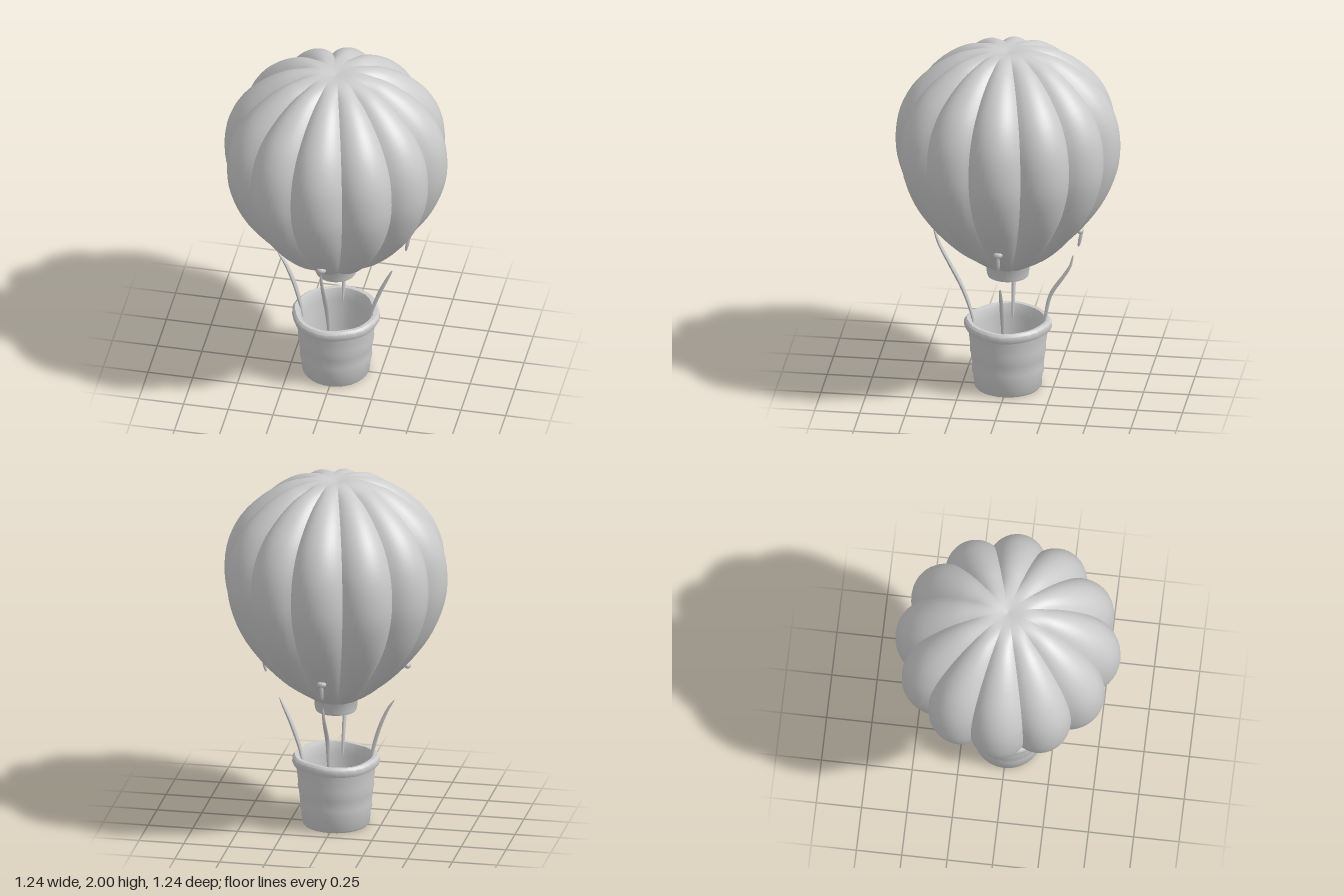
import * as THREE from 'three';
import { toCreasedNormals } from 'three/addons/utils/BufferGeometryUtils.js';

const V2 = (p) => new THREE.Vector2(p[0], p[1]);
const grey = new THREE.MeshStandardMaterial({ color: 0xcccccc });
const GORES = 12;

function addMesh(parent, name, geometry) {
  const mesh = new THREE.Mesh(geometry, grey);
  mesh.name = name;
  parent.add(mesh);
  return mesh;
}

function lathe(points, segments = 32) {
  return toCreasedNormals(new THREE.LatheGeometry(points.map(V2), segments), 0.7);
}

// One puffed strip of the envelope, facing +z, from the neck to the crown
function goreGeometry() {
  const profile = new THREE.SplineCurve([
    [0.115, 0.725], [0.2, 0.775], [0.3, 0.85], [0.42, 0.975], [0.53, 1.13], [0.6, 1.3], [0.62, 1.45],
    [0.6, 1.61], [0.53, 1.755], [0.42, 1.87], [0.3, 1.95], [0.2, 1.985], [0.1, 1.998], [0, 1.985],
  ].map(V2));
  const rows = 44, cols = 12, half = Math.PI / GORES;
  const positions = [], index = [];
  for (let i = 0; i <= rows; i++) {
    const p = profile.getPoint(i / rows);
    const t = profile.getTangent(i / rows);
    const fade = THREE.MathUtils.smoothstep(p.x, 0.08, 0.24);
    for (let j = 0; j <= cols; j++) {
      const a = half * (2 * j / cols - 1);
      // Each strip bulges as a circular arc; seams sink in along the surface normal
      const arc = 0.734 * Math.cos(a) + Math.sqrt(0.266 ** 2 - (0.734 * Math.sin(a)) ** 2);
      const depth = p.x * (1 - arc) * fade;
      const r = Math.max(0, p.x - t.y * depth);
      positions.push(r * Math.sin(a), p.y + t.x * depth, r * Math.cos(a));
      if (i < rows && j < cols) {
        const k = i * (cols + 1) + j, up = k + cols + 1;
        index.push(k, k + 1, up + 1, k, up + 1, up);
      }
    }
  }
  const g = new THREE.BufferGeometry();
  g.setAttribute('position', new THREE.Float32BufferAttribute(positions, 3));
  g.setIndex(index);
  g.computeVertexNormals();
  return g;
}

// Rope through [radius, height] points in the plane facing +z, thinning toward its ends
function ropeGeometry(points, radius) {
  const curve = new THREE.CatmullRomCurve3(points.map(([r, y]) => new THREE.Vector3(0, y, r)));
  const n = 16, sides = 6;
  const g = new THREE.TubeGeometry(curve, n, radius, sides);
  const pos = g.attributes.position, v = new THREE.Vector3();
  for (let i = 0; i <= n; i++) {
    const centre = curve.getPointAt(i / n);
    const scale = 0.25 + 0.75 * Math.sqrt(Math.sin(Math.PI * i / n) + 1e-9);
    for (let j = 0; j <= sides; j++) {
      const k = i * (sides + 1) + j;
      v.fromBufferAttribute(pos, k).sub(centre).multiplyScalar(scale).add(centre);
      pos.setXYZ(k, v.x, v.y, v.z);
    }
  }
  g.computeVertexNormals();
  return g;
}

export function createModel() {
  const model = new THREE.Group();
  model.name = 'hotAirBalloon';

  // Envelope
  const envelope = new THREE.Group();
  envelope.name = 'envelope';
  const gore = goreGeometry();
  for (let i = 0; i < GORES; i++) {
    addMesh(envelope, 'gore', gore).rotation.y = i * 2 * Math.PI / GORES;
  }
  model.add(envelope);

  // Neck with a slightly recessed mouth
  addMesh(model, 'neck', lathe([
    [0, 0.672], [0.095, 0.672], [0.1, 0.66], [0.112, 0.66], [0.116, 0.675], [0.12, 0.73], [0.13, 0.745],
  ]));

  // Hollow basket with an opening in its floor, faint bands and a rolled rim
  const basket = lathe([
    [0.105, 0.05], [0.105, 0.0], [0.178, 0.0], [0.186, 0.012], [0.19, 0.07], [0.199, 0.1], [0.197, 0.13],
    [0.203, 0.19], [0.21, 0.22], [0.208, 0.25], [0.219, 0.34], [0.234, 0.345], [0.241, 0.362], [0.238, 0.385],
    [0.225, 0.397], [0.205, 0.395], [0.196, 0.375], [0.188, 0.33], [0.165, 0.05], [0.105, 0.05],
  ], 28);
  // Uneven hand-made rim
  const pos = basket.attributes.position;
  for (let i = 0; i < pos.count; i++) {
    const x = pos.getX(i), y = pos.getY(i), z = pos.getZ(i);
    const a = Math.atan2(x, z), w = THREE.MathUtils.smoothstep(y, 0.25, 0.38);
    const s = 1 + 0.012 * w * Math.cos(8 * a);
    pos.setXYZ(i, x * s, y + 0.005 * w * Math.sin(3 * a), z * s);
  }
  addMesh(model, 'basket', basket);

  // Four ropes, some of them parted below the knot
  const ropes = [
    { angle: 0, path: [[0.185, 0.32], [0.2, 0.41], [0.25, 0.56], [0.33, 0.72], [0.385, 0.83], [0.415, 0.93]] },
    { angle: 0.5, path: [[0.185, 0.32], [0.2, 0.41], [0.25, 0.56], [0.29, 0.65], [0.315, 0.705]], tail: true },
    { angle: 1, path: [[0.185, 0.32], [0.205, 0.41], [0.235, 0.55], [0.31, 0.67], [0.345, 0.73], [0.36, 0.795]], tail: true },
    { angle: 1.5, path: [[0.185, 0.32], [0.2, 0.41], [0.24, 0.56], [0.29, 0.68], [0.325, 0.735]] },
  ];
  const knot = new THREE.IcosahedronGeometry(0.022, 1);
  for (const { angle, path, tail } of ropes) {
    const rope = new THREE.Group();
    rope.name = 'rope';
    rope.rotation.y = angle * Math.PI;
    addMesh(rope, 'strand', ropeGeometry(path, 0.012));
    if (tail) addMesh(rope, 'looseEnd', ropeGeometry([[0.39, 0.85], [0.4, 0.9], [0.41, 0.95]], 0.011));
    const k = addMesh(rope, 'knot', knot);
    k.position.set(0, 0.945, 0.4);
    k.scale.set(1.2, 0.9, 0.9);
    model.add(rope);
  }
  return model;
}
